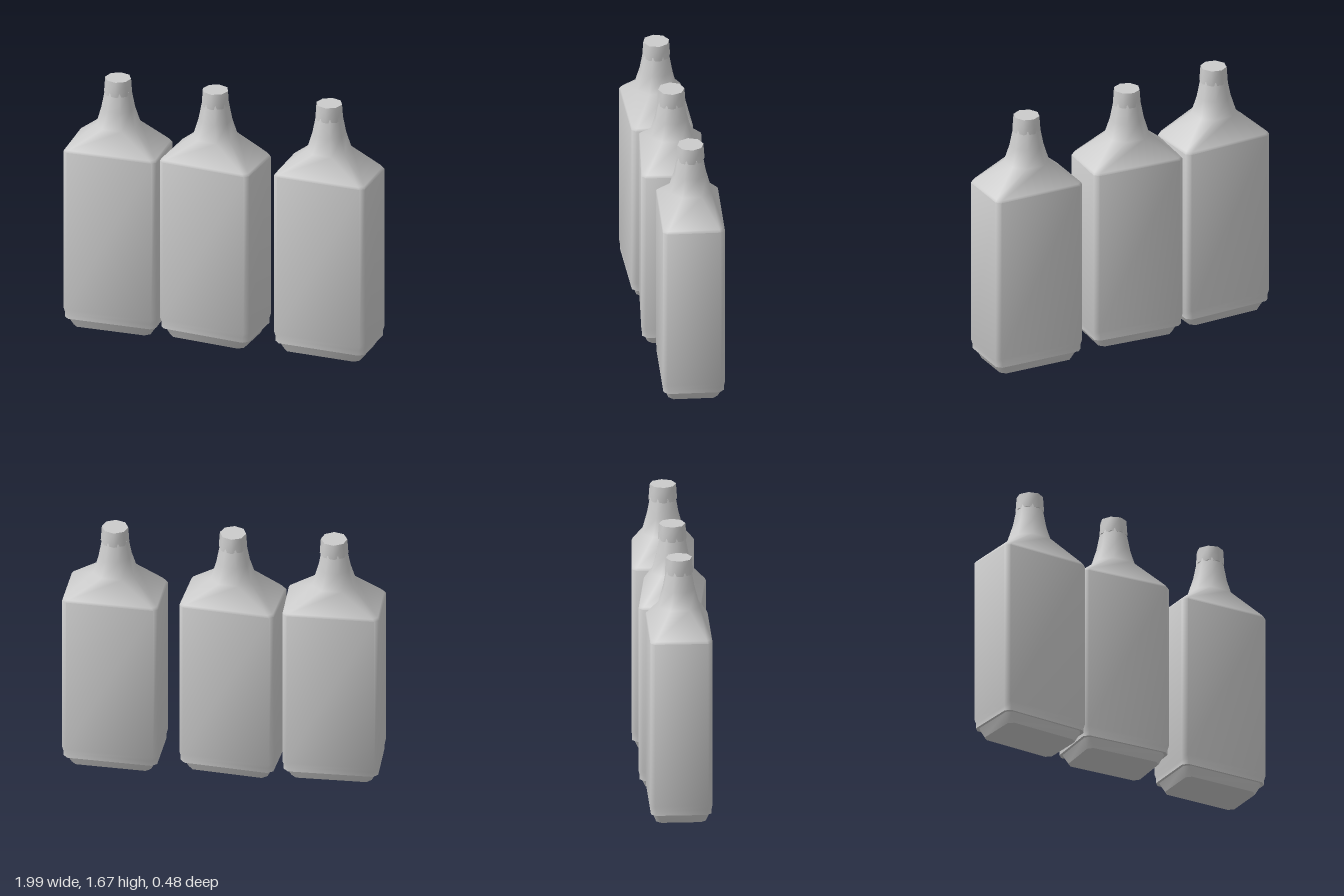
import * as THREE from 'three';
import { toCreasedNormals } from 'three/addons/utils/BufferGeometryUtils.js';

const CREASE = 0.92;
const material = new THREE.MeshStandardMaterial({ color: 0xcccccc });

// Rectangle with cut corners: half width, half depth, corner cut
function ring(y, hx, hz, c) {
  const x = hx - c, z = hz - c;
  return [[hx, z], [hx, -z], [x, -hz], [-x, -hz], [-hx, -z], [-hx, z], [-x, hz], [x, hz]]
    .map(([px, pz]) => [px, y, pz]);
}

// Skin the rings from bottom to top and close both ends
function loft(rings) {
  const n = 8, positions = rings.flat(2), index = [];
  for (let r = 0; r < rings.length - 1; r++) {
    for (let i = 0; i < n; i++) {
      const a = r * n + i, b = r * n + (i + 1) % n;
      index.push(a, b, b + n, a, b + n, a + n);
    }
  }
  const top = (rings.length - 1) * n;
  for (let i = 1; i < n - 1; i++) {
    index.push(0, i + 1, i);
    index.push(top, top + i, top + i + 1);
  }
  const geometry = new THREE.BufferGeometry();
  geometry.setAttribute('position', new THREE.Float32BufferAttribute(positions, 3));
  geometry.setIndex(index);
  return toCreasedNormals(geometry, CREASE);
}

function part(name, geometry) {
  const mesh = new THREE.Mesh(geometry, material);
  mesh.name = name;
  return mesh;
}

export function createModel() {
  const model = new THREE.Group();
  model.name = 'bottles';

  // Tapered foot, small lip, straight body, sloping shoulder and neck
  const bodyGeometry = loft([
    ring(0, 0.252, 0.155, 0.03),
    ring(0.062, 0.282, 0.178, 0.03),
    ring(0.063, 0.298, 0.19, 0.03),
    ring(0.095, 0.298, 0.19, 0.03),
    ring(0.125, 0.305, 0.195, 0.028),
    ring(1.2, 0.305, 0.195, 0.028),
    ring(1.215, 0.295, 0.19, 0.03),
    ring(1.36, 0.128, 0.126, 0.065),
    ring(1.47, 0.098, 0.098, 0.056),
    ring(1.59, 0.077, 0.077, 0.045),
  ]);
  // Eight-sided screw cap
  const capGeometry = toCreasedNormals(
    new THREE.CylinderGeometry(0.083, 0.09, 0.1, 8).rotateY(0.1).translate(0, 1.62, 0), CREASE);

  // Three bottles in a loose row: x, z, turn
  const places = [[-0.69, 0.032, 0.035], [-0.055, 0.003, -0.077], [0.685, -0.04, -0.025]];
  places.forEach(([x, z, turn], i) => {
    const bottle = new THREE.Group();
    bottle.name = `bottle${i + 1}`;
    bottle.add(part('body', bodyGeometry), part('cap', capGeometry));
    bottle.position.set(x, 0, z);
    bottle.rotation.y = turn;
    model.add(bottle);
  });
  return model;
}
